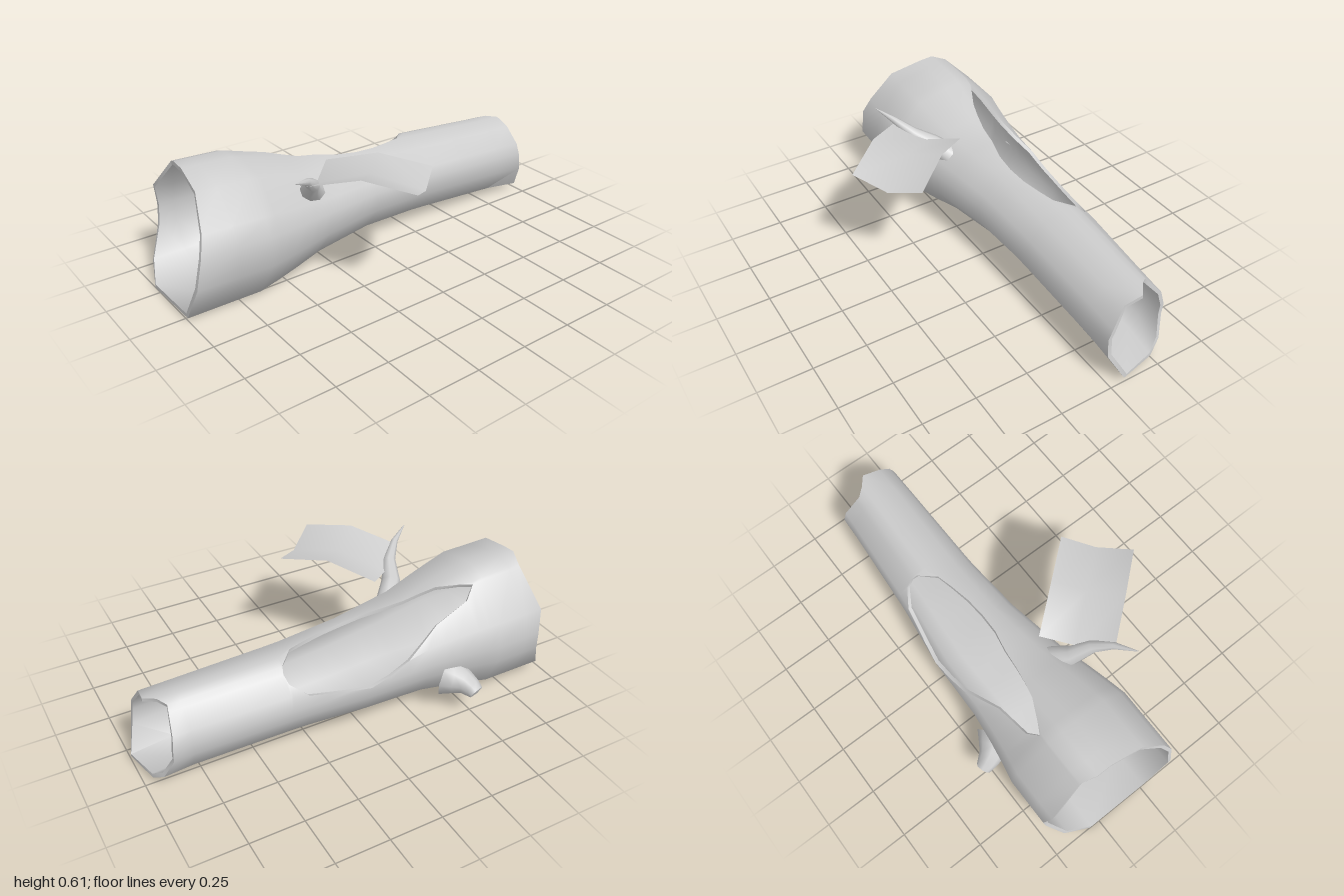
import * as THREE from 'three';
import { toCreasedNormals } from 'three/addons/utils/BufferGeometryUtils.js';

// Cross-section outline (z, y) fitted to a unit box, from the front over the top to the back
const OUTLINE = [[1, 0.13], [0.88, 0.4], [0.53, 0.85], [0.03, 0.98], [-0.19, 1], [-0.41, 0.91], [-0.91, 0.36],
  [-1, 0], [-0.97, -0.3], [-0.78, -0.78], [-0.41, -1], [0.61, -0.96], [1, -0.33]];
const N = OUTLINE.length;
// Broken ends: x of each outline corner
const LEFT_END = [-0.97, -0.94, -0.9, -0.88, -0.88, -0.86, -0.89, -0.87, -0.88, -0.95, -1, -1, -1];
const RIGHT_END = [0.95, 0.95, 0.93, 0.94, 0.89, 0.86, 0.88, 0.89, 0.89, 0.93, 0.96, 1, 0.96];
// Log sizes: x, zMin, zMax, yMin, yMax
const SECTIONS = [[-1, -0.49, 0.145, 0.005, 0.622], [-0.65, -0.49, 0.15, 0.005, 0.605],
  [-0.5, -0.46, 0.12, 0.03, 0.56], [-0.3, -0.435, 0.07, 0.068, 0.5], [0, -0.43, 0.02, 0.085, 0.465],
  [0.3, -0.39, 0, 0.078, 0.435], [0.8, -0.35, 0, 0.048, 0.408], [1, -0.34, 0, 0.02, 0.4]];
// Hole edges as outline positions: x, upper edge, lower edge
const HOLE = [[-1, 5.05, 5.05], [-0.6, 5.05, 5.05], [-0.55, 4.75, 5.3], [-0.45, 4, 5.42], [-0.38, 3.65, 5.5],
  [-0.3, 3.3, 5.75], [-0.15, 2.8, 6.4], [-0.05, 2.6, 7], [0, 2.58, 7], [0.1, 2.65, 6.8], [0.2, 2.85, 6.5],
  [0.28, 3.15, 6.25], [0.35, 4.9, 5.6], [0.36, 5.25, 5.25], [1, 5.25, 5.25]];
const COLUMNS = [-1, -0.8, -0.65, -0.6, -0.55, -0.45, -0.38, -0.3, -0.2, -0.1, 0, 0.1, 0.2, 0.28, 0.35, 0.36, 0.55, 0.8, 1];
const WALL = 0.018;

// Interpolates a table row by its first column
function rowAt(table, x) {
  let i = 0;
  while (i < table.length - 2 && table[i + 1][0] < x) i++;
  const f = (x - table[i][0]) / (table[i + 1][0] - table[i][0]);
  return table[i].map((v, k) => v + (table[i + 1][k] - v) * f);
}

// Interpolates around a closed list
function around(list, t) {
  const i = Math.floor(t), f = t - i;
  return list[i % N] * (1 - f) + list[(i + 1) % N] * f;
}
const OUT_Z = OUTLINE.map(p => p[0]), OUT_Y = OUTLINE.map(p => p[1]);

function logPoint(col, k, inset) {
  const [, upper, lower] = rowAt(HOLE, COLUMNS[col]);
  const t = Math.min(Math.max(5 + k, lower), upper + N);
  let x = COLUMNS[col];
  if (col === 0) x = around(LEFT_END, t);
  if (col === COLUMNS.length - 1) x = around(RIGHT_END, t);
  const [, z0, z1, y0, y1] = rowAt(SECTIONS, x);
  return [x, (y0 + y1) / 2 + around(OUT_Y, t) * ((y1 - y0) / 2 - inset),
    (z0 + z1) / 2 + around(OUT_Z, t) * ((z1 - z0) / 2 - inset)];
}

function logGeometry() {
  const pos = [];
  const quad = (a, b, c, d) => pos.push(...a, ...b, ...c, ...a, ...c, ...d);
  const outer = (i, k) => logPoint(i, k, 0), inner = (i, k) => logPoint(i, k, WALL);
  const last = COLUMNS.length - 1, K = N + 1;
  for (let i = 0; i < last; i++) {
    // bark and inside wall
    for (let k = 0; k < K; k++) {
      quad(outer(i, k), outer(i + 1, k), outer(i + 1, k + 1), outer(i, k + 1));
      quad(inner(i, k), inner(i, k + 1), inner(i + 1, k + 1), inner(i + 1, k));
    }
    // rim of the hole
    if (COLUMNS[i] >= -0.6 && COLUMNS[i + 1] <= 0.36) {
      quad(outer(i, 0), inner(i, 0), inner(i + 1, 0), outer(i + 1, 0));
      quad(outer(i, K), outer(i + 1, K), inner(i + 1, K), inner(i, K));
    }
  }
  // rims of both ends
  for (let k = 0; k < K; k++) {
    quad(outer(0, k), outer(0, k + 1), inner(0, k + 1), inner(0, k));
    quad(outer(last, k), inner(last, k), inner(last, k + 1), outer(last, k + 1));
  }
  const geo = new THREE.BufferGeometry();
  geo.setAttribute('position', new THREE.Float32BufferAttribute(pos, 3));
  return toCreasedNormals(geo, 1.0);
}

// Tapered branch along a curve; rings are [distance along path, radius]
function branchGeometry(points, rings, sides) {
  const path = new THREE.CatmullRomCurve3(points.map(p => new THREE.Vector3(...p)));
  const segs = rings.length - 1;
  const geo = new THREE.TubeGeometry(path, segs, 1, sides);
  const p = geo.attributes.position, v = new THREE.Vector3();
  for (let i = 0; i < p.count; i++) {
    const ring = Math.floor(i / (sides + 1)), [u, r] = rings[ring];
    v.fromBufferAttribute(p, i).sub(path.getPointAt(ring / segs)).multiplyScalar(r).add(path.getPointAt(u));
    p.setXYZ(i, v.x, v.y, v.z);
  }
  return toCreasedNormals(geo, 1.0);
}

// Bent leaf: a sheet of 2 x 2 panels
function leafGeometry() {
  const geo = new THREE.PlaneGeometry(1, 1, 2, 2);
  const corners = [[-0.5, 0.55, 0.19], [-0.375, 0.49, 0.08], [-0.25, 0.525, -0.03],
    [-0.35, 0.605, 0.37], [-0.22, 0.557, 0.26], [-0.1, 0.585, 0.155],
    [-0.2, 0.565, 0.55], [-0.07, 0.505, 0.445], [0.055, 0.545, 0.34]];
  corners.forEach((c, i) => geo.attributes.position.setXYZ(i, ...c));
  geo.computeVertexNormals();
  return geo;
}

export function createModel() {
  const group = new THREE.Group();
  const material = new THREE.MeshStandardMaterial({ color: 0xcccccc });
  const thin = new THREE.MeshStandardMaterial({ color: 0xcccccc, side: THREE.DoubleSide });
  const add = (name, geo, mat = material) => {
    const mesh = new THREE.Mesh(geo, mat);
    mesh.name = name;
    group.add(mesh);
  };

  add('hollowLog', logGeometry());
  add('branchStub', branchGeometry([[-0.43, 0.17, -0.4], [-0.48, 0.16, -0.48], [-0.5, 0.13, -0.54]],
    [[0, 0.1], [0.3, 0.075], [0.55, 0.056], [0.8, 0.045], [0.97, 0.036], [1, 0]], 8));
  add('twig', branchGeometry([[-0.33, 0.39, -0.02], [-0.39, 0.45, 0.05], [-0.44, 0.53, 0.15], [-0.51, 0.58, 0.2], [-0.58, 0.607, 0.243]],
    [[0, 0.055], [0.25, 0.045], [0.5, 0.03], [0.75, 0.016], [1, 0.002]], 8));
  add('leaf', leafGeometry(), thin);
  return group;
}
